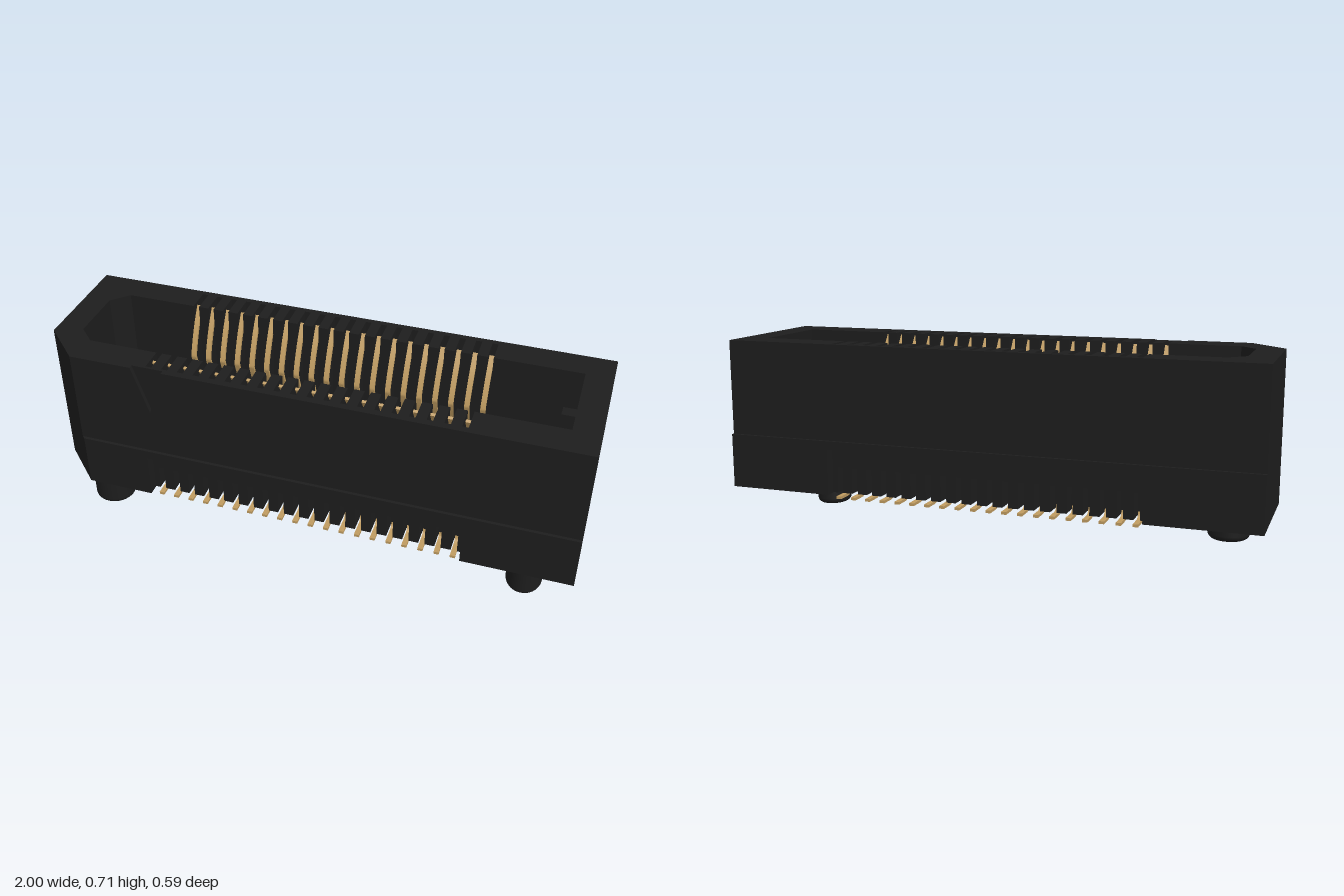
import * as THREE from 'three';

const PINS = 20, PITCH = 0.0596;
const pinXs = Array.from({ length: PINS }, (_, i) => (i - (PINS - 1) / 2) * PITCH);
const Y_BASE = 0.152, Y_LEDGE = 0.356, Y_TOP = 0.714;

const black = new THREE.MeshStandardMaterial({ color: 0x1d1d1d });
black.name = 'black plastic';
const gold = new THREE.MeshStandardMaterial({ color: 0xbf9b60 });
gold.name = 'gold contact';

// Row of slots along x, listed left to right, cut from zEdge to zDeep
function comb(zEdge, zDeep, width) {
  return pinXs.flatMap(x => [
    [x - width / 2, zEdge], [x - width / 2, zDeep],
    [x + width / 2, zDeep], [x + width / 2, zEdge],
  ]);
}

// Horizontal slab from an (x, z) outline between two heights
function slab(name, outline, hole, y0, y1) {
  const toPoints = list => list.map(([x, z]) => new THREE.Vector2(x, -z));
  const shape = new THREE.Shape(toPoints(outline).reverse()); // counter-clockwise
  if (hole) shape.holes.push(new THREE.Path(toPoints(hole)));
  const geo = new THREE.ExtrudeGeometry(shape, { depth: y1 - y0, bevelEnabled: false });
  geo.rotateX(-Math.PI / 2).translate(0, y0, 0);
  const mesh = new THREE.Mesh(geo, black);
  mesh.name = name;
  return mesh;
}

// Rectangular footprint with one cut corner; extra points go in the long edges
function footprint(z, frontEdge = [], backEdge = []) {
  return [[-1, -z], ...backEdge, [1, -z], [1, z], ...[...frontEdge].reverse(),
    [-1 + (z - 0.145), z], [-1, 0.145]];
}

// Recess in a long lower side, optionally with pin slots
function recess(side, slots) {
  const out = side * 0.295, back = side * 0.25;
  return [[-0.596, out], [-0.596, back],
    ...(slots ? comb(back, side * 0.185, 0.023) : []),
    [0.596, back], [0.596, out]];
}

// Mating cavity with cut corners at one end
function cavity(slots) {
  return [[-0.9, -0.11], [-0.84, -0.17],
    ...(slots ? comb(-0.17, -0.262, 0.022) : []),
    [0.9, -0.17], [0.9, 0.165],
    ...(slots ? comb(0.165, 0.257, 0.022).reverse() : []),
    [-0.84, 0.165], [-0.9, 0.105]];
}

// Bent strip contact: side profile thickened along its path, extruded in x
function contactGeometry() {
  const path = new THREE.CurvePath();
  const v = (z, y) => new THREE.Vector2(z, y);
  path.add(new THREE.SplineCurve([v(0.205, 0.7), v(0.16, 0.63), v(0.12, 0.54),
    v(0.122, 0.5), v(0.165, 0.38), v(0.178, 0.25), v(0.18, 0.165)]));
  path.add(new THREE.CubicBezierCurve(v(0.18, 0.165), v(0.182, 0.145), v(0.195, 0.137), v(0.212, 0.137)));
  path.add(new THREE.LineCurve(v(0.212, 0.137), v(0.267, 0.137)));
  const pts = path.getPoints(6);
  const half = 0.005, a = [], b = [];
  pts.forEach((p, i) => {
    const prev = pts[Math.max(i - 1, 0)], next = pts[Math.min(i + 1, pts.length - 1)];
    const t = next.clone().sub(prev).normalize();
    a.push(v(p.x - t.y * half, p.y + t.x * half));
    b.unshift(v(p.x + t.y * half, p.y - t.x * half));
  });
  const geo = new THREE.ExtrudeGeometry(new THREE.Shape([...a, ...b]), { depth: 0.019, bevelEnabled: false });
  return geo.translate(0, 0, -0.0095).rotateY(-Math.PI / 2);
}

// Locating peg with a rounded lower rim, round or oval in plan
function peg(name, x, rx, rz) {
  const f = 0.022, profile = [new THREE.Vector2(0, 0)];
  for (let i = 0; i <= 5; i++) {
    const t = (i / 5) * Math.PI / 2;
    profile.push(new THREE.Vector2(rz - f + f * Math.sin(t), f - f * Math.cos(t)));
  }
  profile.push(new THREE.Vector2(rz, 0.156));
  const mesh = new THREE.Mesh(new THREE.LatheGeometry(profile, 48), black);
  mesh.name = name;
  mesh.position.set(x, 0, 0.167);
  mesh.scale.x = rx / rz;
  return mesh;
}

export function createModel() {
  const model = new THREE.Group();
  model.name = 'boardConnector';

  // Housing, from the board upwards
  const housing = new THREE.Group();
  housing.name = 'housing';
  const well = [[-0.618, -0.17], [0.615, -0.17], [0.615, 0.165], [-0.618, 0.165]];
  const zWall = 0.283, vLeft = -0.627, vRight = -0.508, vTip = -0.567, vBottom = 0.53, vZ = 0.267;
  const markSlot = [[vLeft, zWall], [vLeft, vZ], [vRight, vZ], [vRight, zWall]];
  housing.add(
    slab('slottedBase', footprint(0.295, recess(1, true), recess(-1, true)), null, Y_BASE, 0.25),
    slab('recessedBase', footprint(0.295, recess(1, false), recess(-1, false)), well, 0.25, 0.324),
    slab('baseLedge', footprint(0.295), cavity(false), 0.324, Y_LEDGE),
    slab('lowerShroud', footprint(zWall), cavity(true), Y_LEDGE, vBottom),
    slab('upperShroud', footprint(zWall, markSlot), cavity(true), vBottom, Y_TOP),
  );

  // Wedges that leave a V-shaped first-pin mark in the front wall
  for (const x of [vLeft, vRight]) {
    const tri = new THREE.Shape([new THREE.Vector2(x, vBottom),
      new THREE.Vector2(vTip, vBottom), new THREE.Vector2(x, Y_TOP)]);
    const wedge = new THREE.Mesh(
      new THREE.ExtrudeGeometry(tri, { depth: zWall - vZ, bevelEnabled: false }), black);
    wedge.name = 'markWedge';
    wedge.position.z = vZ;
    housing.add(wedge);
  }

  // Polarising rib at the end of the cavity
  const rib = new THREE.Mesh(new THREE.BoxGeometry(0.055, 0.34, 0.045), black);
  rib.name = 'keyRib';
  rib.position.set(0.8775, 0.49, -0.005);
  housing.add(rib);
  model.add(housing);

  model.add(peg('roundPeg', -0.822, 0.078, 0.078), peg('ovalPeg', 0.819, 0.066, 0.078));

  // Two mirrored rows of contacts
  const geo = contactGeometry();
  for (const [name, turn] of [['frontContacts', 0], ['backContacts', Math.PI]]) {
    const row = new THREE.Group();
    row.name = name;
    for (const x of pinXs) {
      const pin = new THREE.Mesh(geo, gold);
      pin.name = 'contact';
      pin.position.x = x;
      pin.rotation.y = turn;
      row.add(pin);
    }
    model.add(row);
  }
  return model;
}
